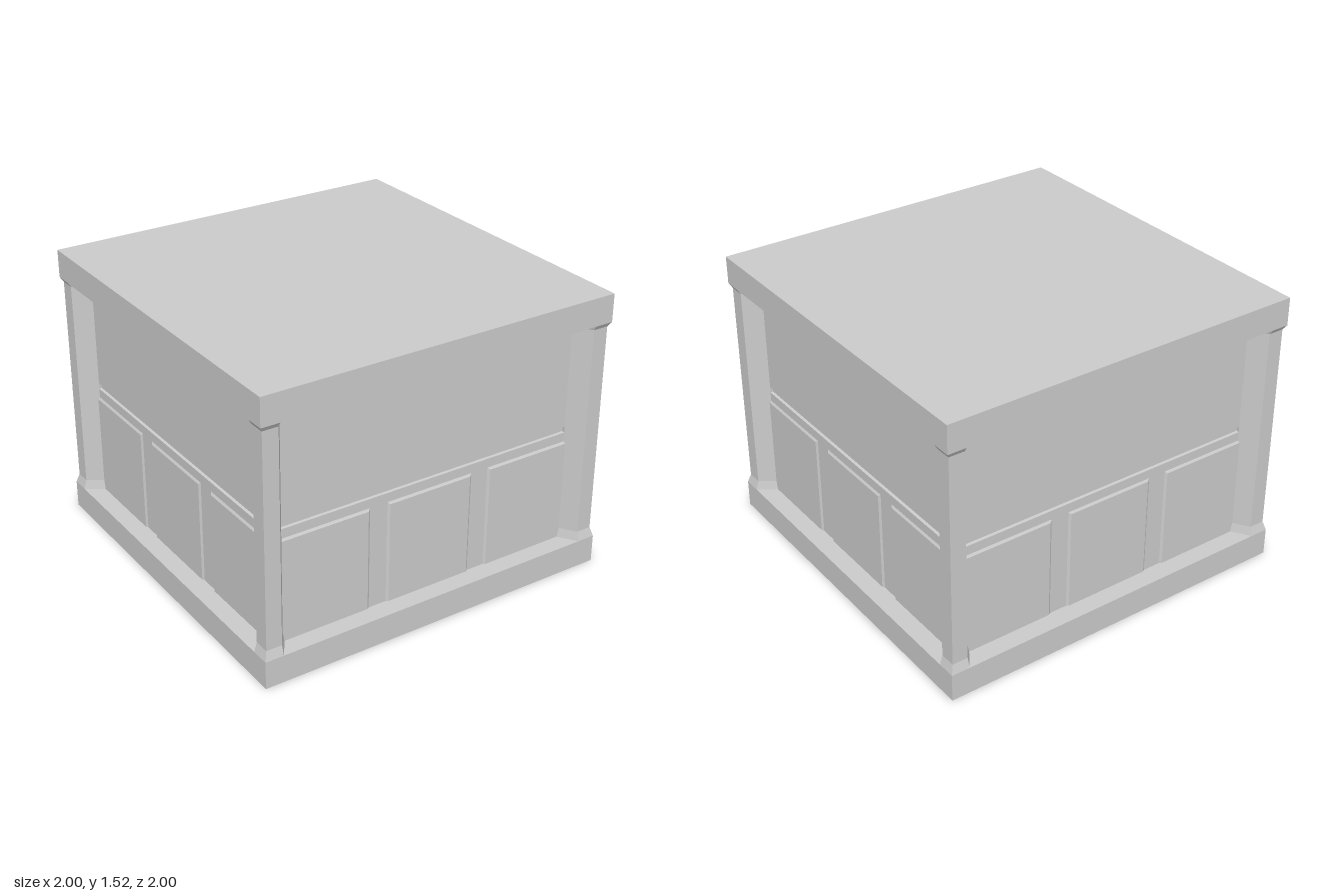
import * as THREE from 'three';

const HEIGHT = 1.52;
const BASE = 0.15; // top of the base skirt
const ROOF = 1.37; // underside of the roof slab
const WALL = 0.895; // distance of the wall plane from the centre

const material = new THREE.MeshStandardMaterial({ color: 0xcccccc, flatShading: true });
const thinMaterial = new THREE.MeshStandardMaterial({
  color: 0xcccccc, flatShading: true, side: THREE.DoubleSide,
});

function mesh(name, geometry, mat = material) {
  const m = new THREE.Mesh(geometry, mat);
  m.name = name;
  return m;
}

// Square solid swept from a profile of [half width, height] points
function squareLathe(profile) {
  const points = profile.map(([r, y]) => new THREE.Vector2(r * Math.SQRT2, y));
  return new THREE.LatheGeometry(points, 4, Math.PI / 4).toNonIndexed();
}

// Corner post: chamfered section, flared where it meets base and roof
function postGeometry() {
  const levels = [
    [BASE, 1, 0.83], [0.2, 0.985, 0.84], [1.345, 0.985, 0.84], [ROOF, 1, 0.83],
  ];
  const loops = levels.map(([y, s, i]) =>
    [[s, s], [0.9, s], [i, WALL], [i, i], [WALL, i], [s, 0.9]].map(([x, z]) => [x, y, z]));
  const positions = [];
  for (let l = 0; l < loops.length - 1; l++) {
    const low = loops[l], high = loops[l + 1];
    for (let k = 0; k < low.length; k++) {
      const n = (k + 1) % low.length;
      positions.push(...low[k], ...high[n], ...low[n], ...low[k], ...high[k], ...high[n]);
    }
  }
  const g = new THREE.BufferGeometry();
  g.setAttribute('position', new THREE.Float32BufferAttribute(positions, 3));
  g.computeVertexNormals();
  return g;
}

// Shallow raised panel with bevelled edges, spanning x0..x1 and y0..y1
function panelGeometry(x0, x1, y0, y1) {
  const b = 0.012;
  const shape = new THREE.Shape([
    new THREE.Vector2(x0 + b, y0 + b), new THREE.Vector2(x1 - b, y0 + b),
    new THREE.Vector2(x1 - b, y1 - b), new THREE.Vector2(x0 + b, y1 - b),
  ]);
  const g = new THREE.ExtrudeGeometry(shape, {
    depth: 0.002, bevelEnabled: true, bevelSize: b, bevelThickness: 0.008, bevelSegments: 1,
  });
  return g.translate(0, 0, WALL - 0.002);
}

export function createModel() {
  const model = new THREE.Group();
  model.name = 'pavilionBlock';

  // Roof slab
  const roof = mesh('roofSlab', new THREE.BoxGeometry(2, HEIGHT - ROOF, 2));
  roof.position.y = (HEIGHT + ROOF) / 2;
  model.add(roof);

  // Base skirt with a ledge, open underneath around the core
  model.add(mesh('baseSkirt', squareLathe([[1, 0], [1, BASE], [WALL - 0.01, BASE]]), thinMaterial));

  // Core walls with a groove running round above the panels
  model.add(mesh('walls', squareLathe([
    [0, 0.002], [WALL, 0.002], [WALL, 0.76], [WALL - 0.015, 0.762],
    [WALL - 0.015, 0.784], [WALL, 0.794], [WALL, ROOF],
  ])));

  // Four identical sides: one post and three panels each
  const post = postGeometry();
  const panels = [[-0.86, -0.35], [-0.25, 0.25], [0.35, 0.86]]
    .map(([x0, x1]) => panelGeometry(x0, x1, BASE - 0.03, 0.71));
  ['front', 'left', 'back', 'right'].forEach((label, k) => {
    const side = new THREE.Group();
    side.name = `${label}Side`;
    side.rotation.y = k * Math.PI / 2;
    side.add(mesh('cornerPost', post));
    panels.forEach((g) => side.add(mesh('wallPanel', g)));
    model.add(side);
  });

  return model;
}
